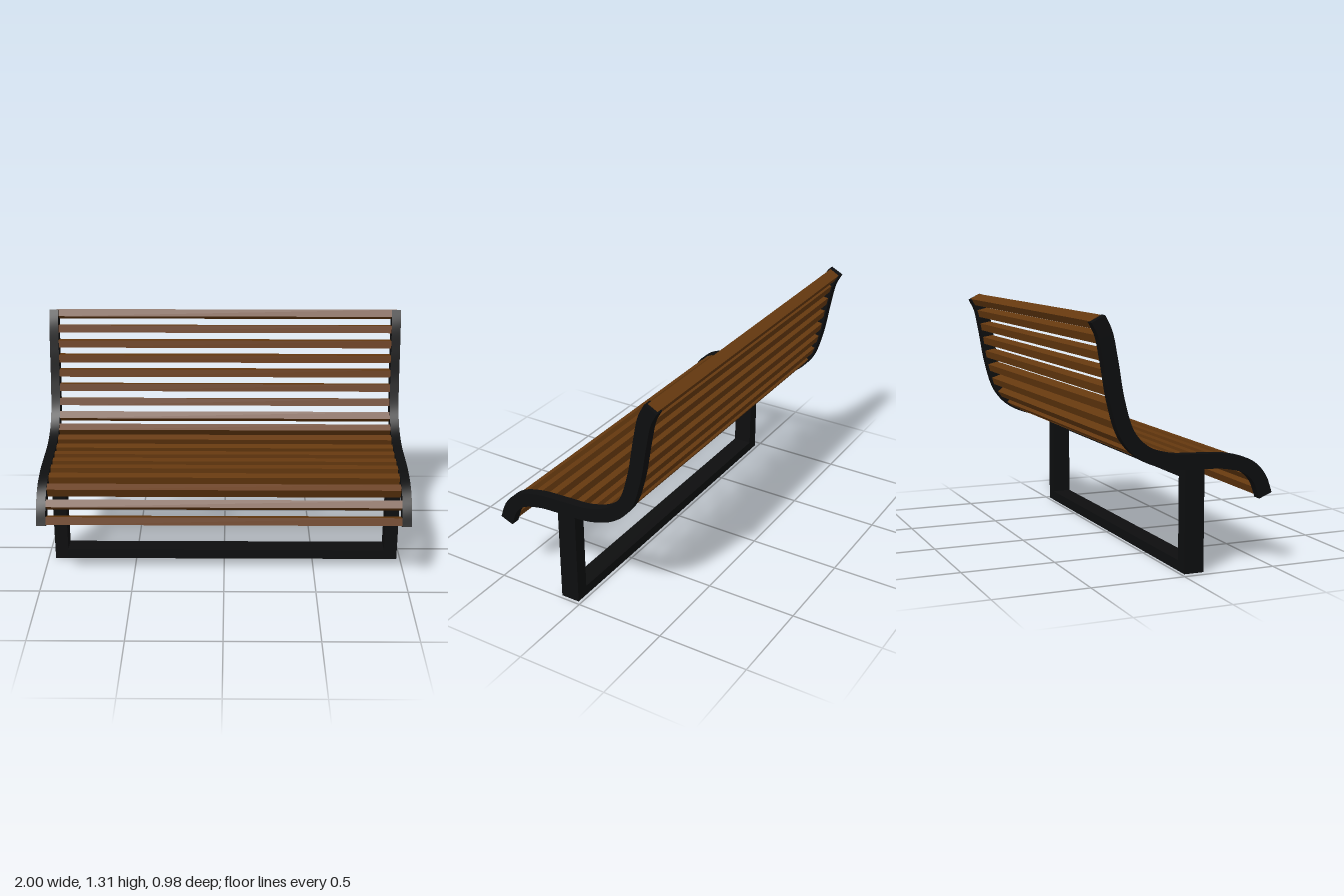
import * as THREE from 'three';
import { toCreasedNormals } from 'three/addons/utils/BufferGeometryUtils.js';

// Side profile of the bench as a centre line: [z, y] from front lip to top of back
const PROFILE = [
  [0.449, 0.374], [0.414, 0.463], [0.351, 0.526], [0.232, 0.563], [0.077, 0.574], [-0.084, 0.586],
  [-0.218, 0.635], [-0.305, 0.723], [-0.361, 0.888], [-0.396, 1.081], [-0.426, 1.221], [-0.46, 1.288],
];
const SLATS = 18;
const CENTRE_X = 0.01; // base frame and slats sit slightly off centre

export function createModel() {
  const steel = new THREE.MeshStandardMaterial({ color: 0x0d0e0f });
  steel.name = 'blackSteel';
  const wood = new THREE.MeshStandardMaterial({ color: 0x66390f });
  wood.name = 'brownWood';

  const bench = new THREE.Group();
  bench.name = 'bench';
  const add = (name, geometry, material, x = 0, y = 0, z = 0) => {
    const mesh = new THREE.Mesh(geometry, material);
    mesh.name = name;
    mesh.position.set(x, y, z);
    bench.add(mesh);
    return mesh;
  };

  const curve = new THREE.CatmullRomCurve3(PROFILE.map(([z, y]) => new THREE.Vector3(0, y, z)), false, 'centripetal');
  curve.arcLengthDivisions = 400;
  const length = curve.getLength();

  // Curved side frames: centre line offset to both sides, then extruded across x
  const upper = [], lower = [];
  const steps = 64, half = 0.038;
  for (let i = 0; i <= steps; i++) {
    const p = curve.getPointAt(i / steps);
    const t = curve.getTangentAt(i / steps);
    upper.push(new THREE.Vector2(p.z + t.y * half, p.y - t.z * half));
    lower.push(new THREE.Vector2(p.z - t.y * half, p.y + t.z * half));
  }
  const outline = new THREE.Shape([...upper, ...lower.reverse()]);
  const side = toCreasedNormals(
    new THREE.ExtrudeGeometry(outline, { depth: 0.05, bevelEnabled: false })
      .rotateY(-Math.PI / 2).translate(0.025, 0, 0), 0.6);
  add('leftSideFrame', side, steel, 0.975);
  add('rightSideFrame', side, steel, -0.975);

  // Wooden slats spaced evenly along the curve, each turned to follow it
  const slat = new THREE.BoxGeometry(1.94, 0.06, 0.042);
  const first = 0.028, last = length - 0.018;
  for (let i = 0; i < SLATS; i++) {
    const u = (first + (last - first) * i / (SLATS - 1)) / length;
    const p = curve.getPointAt(u);
    const t = curve.getTangentAt(u);
    add('slat' + (i + 1), slat, wood, CENTRE_X, p.y, p.z).rotation.x = Math.atan2(-t.y, t.z);
  }

  // Rectangular base frame: two legs, a floor bar and a bar under the seat
  const legZ = 0.071, depth = 0.106;
  for (const s of [1, -1]) {
    add(s > 0 ? 'leftLeg' : 'rightLeg', new THREE.BoxGeometry(0.073, 0.54, depth), steel,
      CENTRE_X + s * 0.9335, 0.27, legZ);
  }
  const bar = new THREE.BoxGeometry(1.794, 0.055, depth);
  add('floorBar', bar, steel, CENTRE_X, 0.0275, legZ);
  add('seatBar', bar, steel, CENTRE_X, 0.5125, legZ);

  return bench;
}
